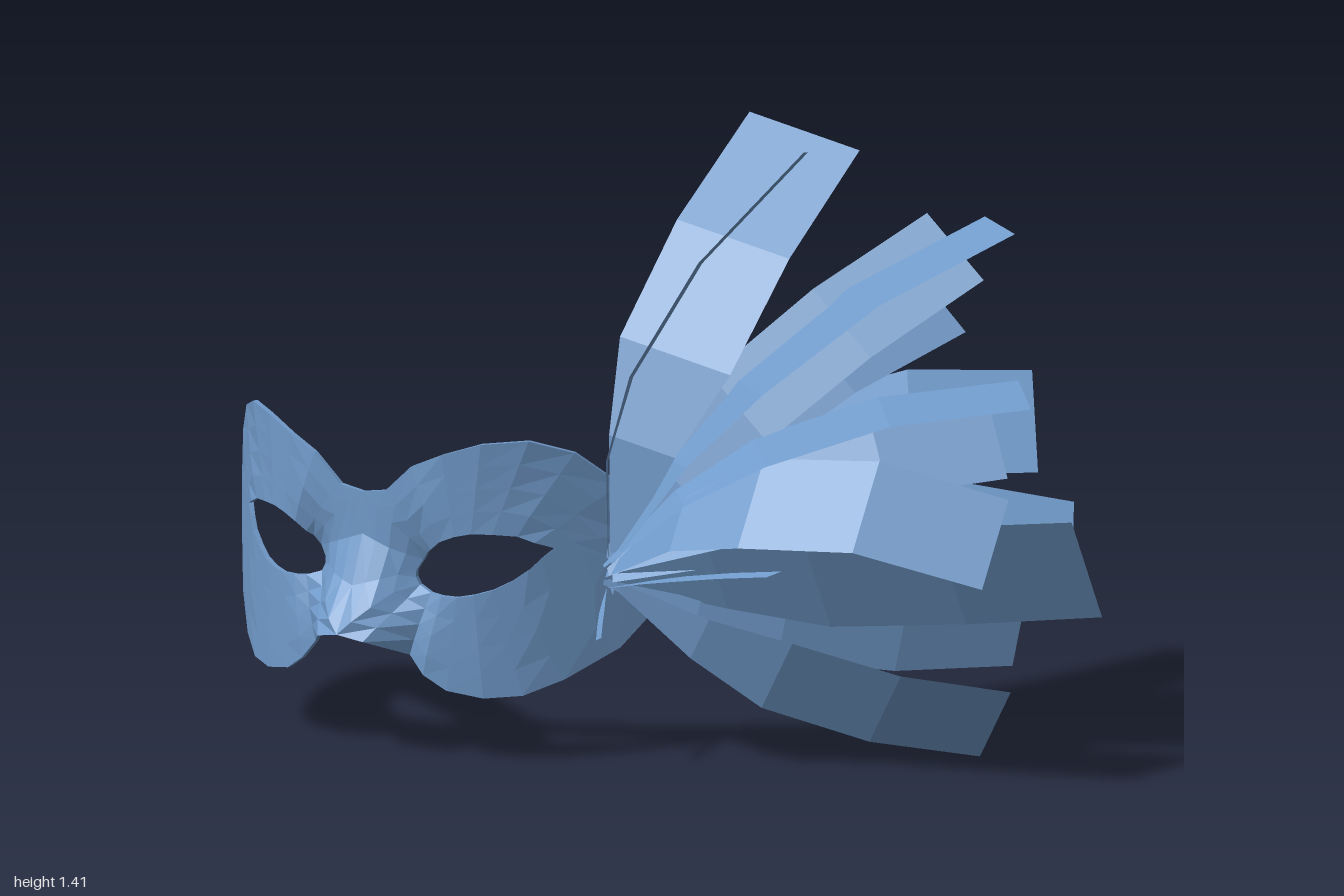
import * as THREE from 'three';

const paint = new THREE.MeshStandardMaterial({ color: 0x719bcb, flatShading: true, side: THREE.DoubleSide });
paint.name = 'steelBlue';

// Surface through rows of points; flip reverses the facing
function grid(rows, closed = false, flip = false) {
  const n = rows[0].length, idx = [];
  const nRows = closed ? rows.length : rows.length - 1;
  const nCols = closed ? n : n - 1;
  for (let i = 0; i < nRows; i++) for (let j = 0; j < nCols; j++) {
    const i2 = (i + 1) % rows.length, j2 = (j + 1) % n;
    const a = i * n + j, b = i * n + j2, c = i2 * n + j2, d = i2 * n + j;
    if (flip) idx.push(a, d, b, b, d, c);
    else idx.push(a, b, d, b, c, d);
  }
  const geo = new THREE.BufferGeometry();
  geo.setAttribute('position', new THREE.Float32BufferAttribute(rows.flat(2), 3));
  geo.setIndex(idx);
  geo.computeVertexNormals();
  return geo;
}

// Half of the mask: outline point, then matching eye-hole point (distance from middle, height)
const RING = [
  [0, .595, .15, .47], [.06, .605, .165, .48], [.128, .668, .19, .5], [.2, .70, .225, .515],
  [.28, .727, .26, .523], [.365, .733, .30, .522], [.435, .70, .345, .517], [.5, .62, .375, .502],
  [.55, .513, .395, .492], [.565, .433, .405, .487], [.545, .326, .385, .465], [.5, .25, .365, .44],
  [.42, .187, .335, .415], [.355, .155, .30, .395], [.285, .15, .265, .384], [.21, .165, .23, .377],
  [.16, .198, .195, .378], [.125, .24, .165, .381], [.06, .278, .13, .393], [0, .29, .12, .41],
  [0, .39, .12, .425], [0, .5, .135, .45],
];

// Wrap of the mask around the face, seen from above (distance from middle, depth)
const WRAP = [[0, .452], [.17, .452], [.28, .402], [.373, .332], [.469, .217], [.565, .078]];

function maskDepth(u, y) {
  let k = 0;
  while (k < WRAP.length - 2 && u > WRAP[k + 1][0]) k++;
  const [u0, z0] = WRAP[k], [u1, z1] = WRAP[k + 1];
  const base = z0 + (z1 - z0) * (u - u0) / (u1 - u0);
  // nose: a blunt ridge growing towards its lower tip
  const across = THREE.MathUtils.clamp((.125 - u) / .075, 0, 1);
  const down = THREE.MathUtils.clamp((.45 - y) / .15, 0, 1);
  // hollow beside the nose at the inner eye corner
  const hollow = Math.exp(-(((u - .14) / .05) ** 2) - ((y - .43) / .09) ** 2);
  return base + .106 * across * down - .042 * hollow;
}

function maskHalf(side) {
  const STEPS = 4, MID = -.435;
  const rows = RING.map(([ou, oy, iu, iy]) => {
    const front = [], back = [];
    for (let j = 0; j <= STEPS; j++) {
      const t = j / STEPS;
      const u = ou + (iu - ou) * t, y = oy + (iy - oy) * t, z = maskDepth(u, y);
      front.push([MID + side * u, y, z]);
      back.unshift([MID + side * u * .988, y, z - .012]);
    }
    return [...front, ...back];
  });
  return grid(rows, true, side < 0);
}

// Feather: bent ribbon from the root to a tip edge a-b; bulge bows its middle
function featherGeometry(a, b, bulge, root) {
  const A = new THREE.Vector3(...a), B = new THREE.Vector3(...b), R = new THREE.Vector3(...root);
  const tip = A.clone().add(B).multiplyScalar(.5);
  const half = A.clone().sub(B).multiplyScalar(.5);
  const ctrl = R.clone().add(tip).multiplyScalar(.5).add(new THREE.Vector3(...bulge));
  const curve = new THREE.QuadraticBezierCurve3(R, ctrl, tip);
  const stations = [[0, .1], [.24, .6], [.45, 1], [.73, 1.02], [1, 1]];
  return grid(stations.map(([t, w]) => {
    const p = curve.getPoint(t);
    return [1, 0, -1].map(s => p.clone().addScaledVector(half, s * w).toArray());
  }));
}

const ROOT = [.07, .42, .2];
const FEATHERS = [
  // tip corner, tip corner, bulge
  [[.10, 1.382, -.295], [.37, 1.322, -.328], [.06, .1, .3]],
  [[.49, 1.412, .08], [.40, 1.371, -.074], [-.22, 0, .2]],
  [[.59, 1.22, -.265], [.74, 1.086, -.265], [0, .08, .2]],
  [[.72, 1.222, -.30], [.885, 1.228, -.17], [-.08, .14, .2]],
  [[.51, 1.075, -.33], [.64, .94, -.345], [-.02, .1, .2]],
  [[.874, .888, -.2], [.99, .861, -.075], [-.05, .2, .2]],
  [[.674, .816, -.561], [.82, .64, -.3625], [0, .25, .12]],
  [[.72, .805, -.31], [.82, .65, -.24], [0, .14, .14]],
  [[.96, .66, -.03], [.985, .487, .115], [0, .31, .25]],
  [[.807, .54, -.527], [.91, .386, -.365], [0, .2, .1]],
  [[.95, .555, -.3], [.965, .322, -.4], [.06, .02, .17]],
  [[.77, .31, -.377], [.75, .191, -.366], [.06, -.08, .15]],
  [[.826, .164, -.243], [.73, .002, -.265], [.08, -.08, .2]],
  // short quills around the root
  [[.51, .485, .2], [.49, .475, .23], [0, .02, .04]],
  [[.12, .31, .334], [.10, .30, .325], [0, 0, .01]],
  [[-.02, .50, .13], [.01, .48, .12], [0, 0, 0]],
];

export function createModel() {
  const model = new THREE.Group();
  model.name = 'featheredMask';
  const add = (parent, name, geo) => {
    const mesh = new THREE.Mesh(geo, paint);
    mesh.name = name;
    parent.add(mesh);
  };

  // Mask shell with eye holes
  const mask = new THREE.Group();
  mask.name = 'mask';
  add(mask, 'maskLeftHalf', maskHalf(1));
  add(mask, 'maskRightHalf', maskHalf(-1));

  // Fan of feathers on the left temple
  const plume = new THREE.Group();
  plume.name = 'plume';
  FEATHERS.forEach(([a, b, bulge], i) => {
    const root = [ROOT[0] - .012 * (i % 3), ROOT[1] + .05 - .006 * i, ROOT[2] + .012 * (i % 2)];
    add(plume, 'feather' + (i + 1), featherGeometry(a, b, bulge, root));
  });

  model.add(mask, plume);
  return model;
}
